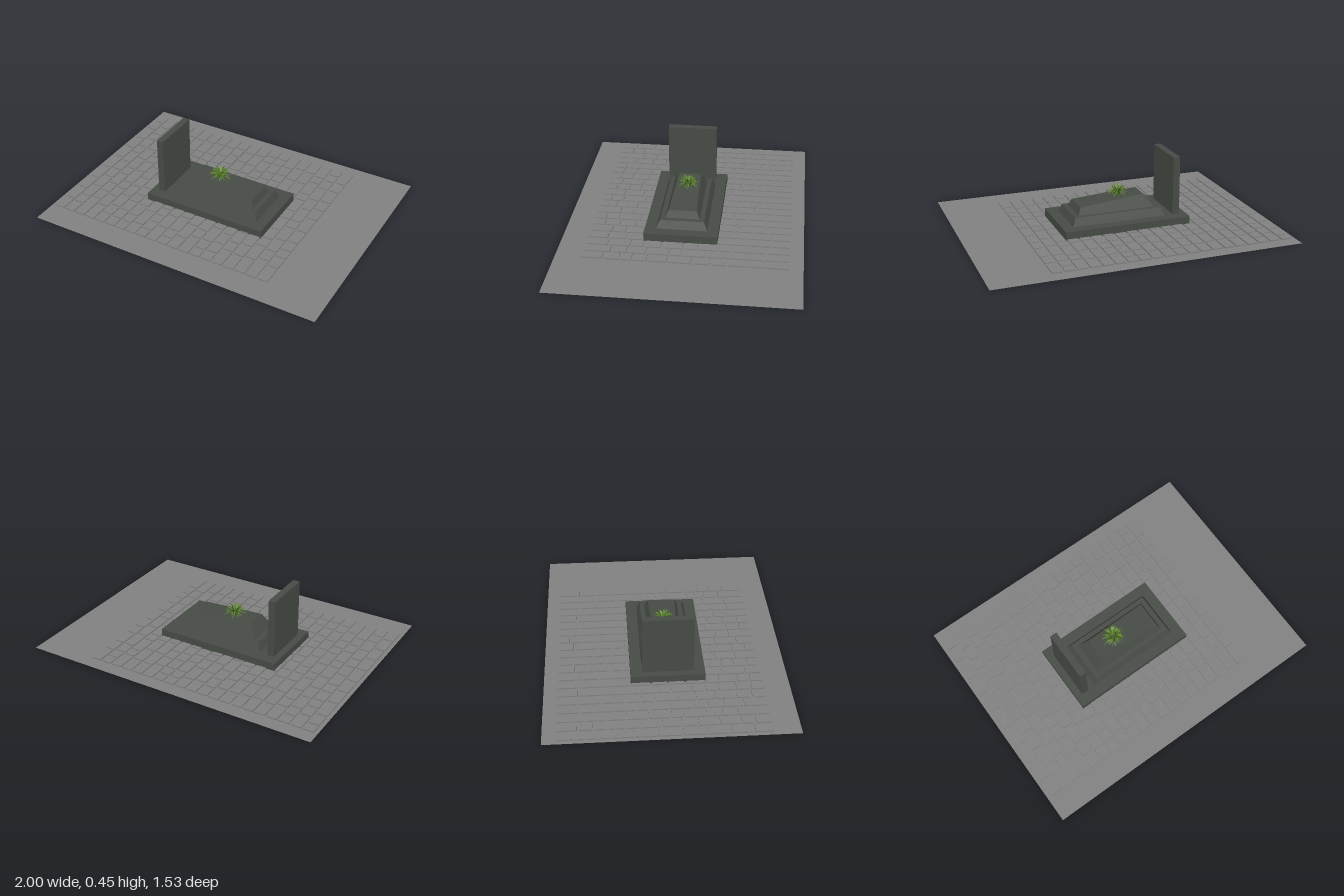
import * as THREE from 'three';

const mat = (name, color, side = THREE.FrontSide) => {
  const m = new THREE.MeshStandardMaterial({ color, side });
  m.name = name;
  return m;
};

// small seeded random generator
function seeded(seed) {
  let s = seed;
  return () => (s = (s * 16807) % 2147483647) / 2147483647;
}

// box from min and max limits
function block(x0, x1, y0, y1, z0, z1) {
  return new THREE.BoxGeometry(x1 - x0, y1 - y0, z1 - z0)
    .translate((x0 + x1) / 2, (y0 + y1) / 2, (z0 + z1) / 2);
}

// four-sided tier; each end is {x, y, z} giving [bottom, top] x and y, and z half widths
function tier(left, right, zMid) {
  const g = new THREE.BoxGeometry(1, 1, 1);
  const p = g.attributes.position;
  for (let i = 0; i < p.count; i++) {
    const end = p.getX(i) < 0 ? left : right;
    const k = p.getY(i) < 0 ? 0 : 1;
    p.setXYZ(i, end.x[k], end.y[k], zMid + Math.sign(p.getZ(i)) * end.z[k]);
  }
  g.computeVertexNormals();
  return g;
}

// arching blade that tapers to a point
function blade(angle, reach, height, droop, width) {
  const g = new THREE.PlaneGeometry(1, 1, 1, 6);
  const p = g.attributes.position;
  const c = Math.cos(angle), s = Math.sin(angle);
  for (let i = 0; i < p.count; i++) {
    const t = p.getY(i) + 0.5;
    const w = p.getX(i) * width * (0.6 + 1.2 * t) * (1 - t * t);
    const r = 0.008 + reach * Math.pow(t, 1.3);
    const y = height * Math.sin(t * Math.PI * droop);
    p.setXYZ(i, c * r - s * w, y, s * r + c * w);
  }
  g.computeVertexNormals();
  return g;
}

export function createModel() {
  const model = new THREE.Group();
  model.name = 'grave';
  const stone = mat('dark granite', 0x464b45);
  const paving = mat('grey paving', 0x808080);
  const ground = mat('grey ground', 0x808080, THREE.DoubleSide);
  const greens = [
    mat('light leaf', 0x648a30, THREE.DoubleSide),
    mat('dark leaf', 0x3a5a1e, THREE.DoubleSide),
  ];
  const add = (name, geometry, material, parent = model) => {
    const m = new THREE.Mesh(geometry, material);
    m.name = name;
    parent.add(m);
    return m;
  };

  // flat ground sheet
  add('ground', new THREE.PlaneGeometry(2, 1.535).rotateX(-Math.PI / 2), ground);

  // paving in straight columns with staggered stones
  const pavers = new THREE.Group();
  pavers.name = 'pavers';
  model.add(pavers);
  const rand = seeded(41);
  const columns = 20, x0 = -0.975, pitch = 1.595 / columns, gap = 0.012;
  const zStart = -0.68, zEnd = 0.6;
  for (let i = 0; i < columns; i++) {
    const x = x0 + i * pitch;
    let z = zStart;
    while (z < zEnd - 0.01) {
      let next = z + 0.075 + rand() * 0.075;
      if (next > zEnd - 0.06) next = zEnd + gap;
      add('paver', block(x, x + pitch - gap, 0.001, 0.01, z, next - gap), paving, pavers);
      z = next;
    }
  }

  // base slab and upright headstone
  add('baseSlab', block(-0.475, 0.375, 0.002, 0.057, -0.224, 0.246), stone);
  add('headstone', block(-0.43, -0.384, 0.057, 0.446, -0.15, 0.176), stone);

  // stepped cover with a sloping upper tier
  add('lowerTier', tier(
    { x: [-0.326, -0.303], y: [0.057, 0.109], z: [0.164, 0.141] },
    { x: [0.305, 0.282], y: [0.057, 0.109], z: [0.164, 0.141] }, 0.011), stone);
  add('upperTier', tier(
    { x: [-0.266, -0.21], y: [0.109, 0.191], z: [0.111, 0.074] },
    { x: [0.25, 0.231], y: [0.109, 0.156], z: [0.111, 0.09] }, 0.011), stone);

  // tuft of arching leaves
  const plant = new THREE.Group();
  plant.name = 'plant';
  plant.position.set(-0.055, 0.174, 0.006);
  model.add(plant);
  const count = 90;
  for (let i = 0; i < count; i++) {
    const u = (i + 0.5) / count;
    const reach = 0.015 + 0.06 * Math.sqrt(u) * (0.8 + 0.4 * rand());
    const height = (0.085 - 0.05 * u) * (0.75 + 0.3 * rand());
    const droop = 0.45 + 0.42 * u;
    add('leaf', blade(i * 2.4, reach, height, droop, 0.007), greens[i % 3 === 0 ? 1 : 0], plant);
  }
  return model;
}
